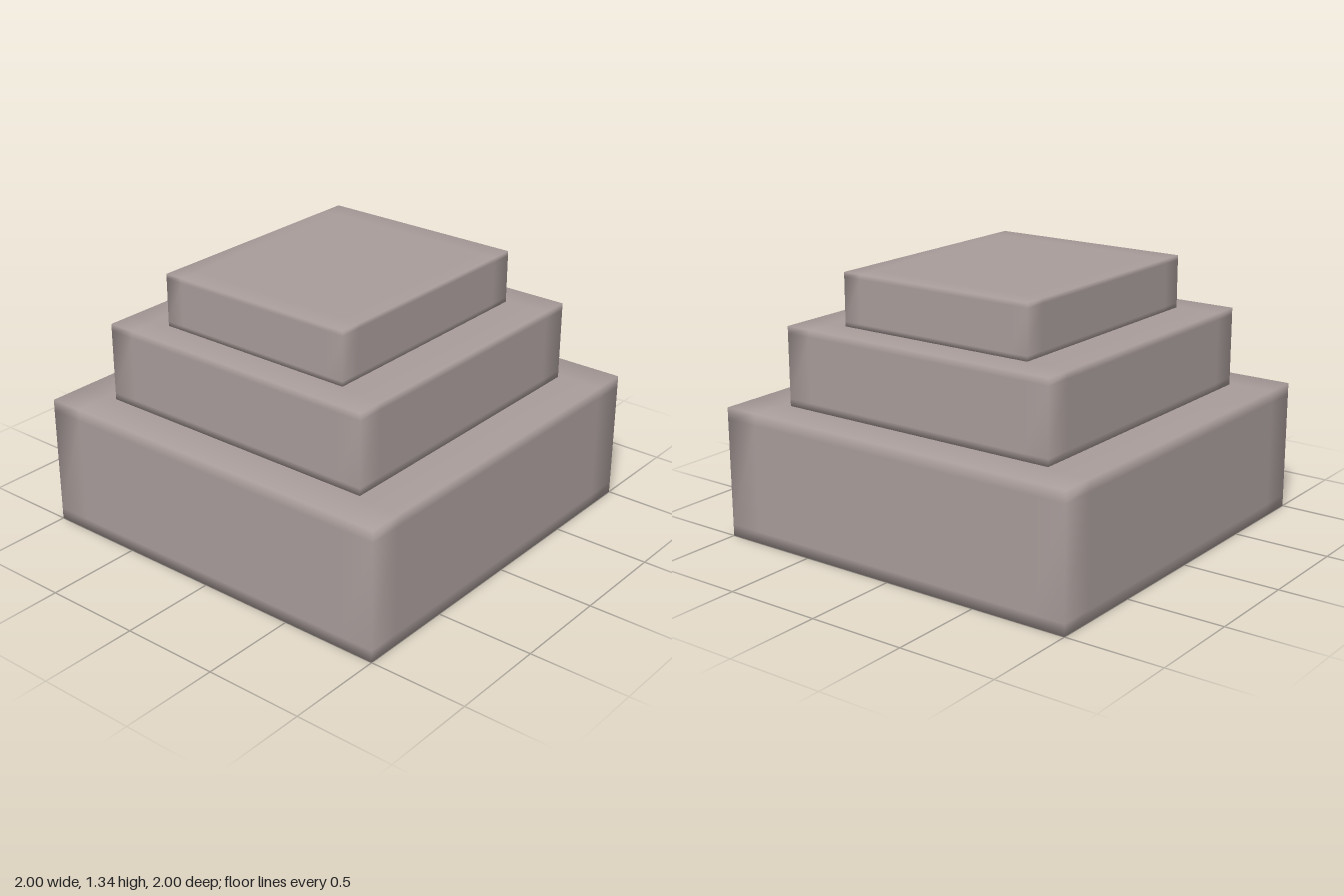
import * as THREE from 'three';
import { mergeVertices } from 'three/addons/utils/BufferGeometryUtils.js';

// Sharp-outlined block whose shading rolls softly over its edges:
// loops sit close to each edge and vertices are shared between faces.
function softBlock(w, h, d) {
  const box = new THREE.BoxGeometry(1, 1, 1, 3, 3, 3);
  box.deleteAttribute('uv');
  box.deleteAttribute('normal');
  const geo = mergeVertices(box);
  const p = geo.attributes.position;
  const inset = (v) => Math.sign(v) * (Math.abs(v) > 0.3 ? 0.5 : 0.41);
  for (let i = 0; i < p.count; i++) {
    p.setXYZ(i, inset(p.getX(i)) * w, inset(p.getY(i)) * h, inset(p.getZ(i)) * d);
  }
  geo.computeVertexNormals();
  return geo;
}

export function createModel() {
  const group = new THREE.Group();
  group.name = 'steppedPlinth';
  const stone = new THREE.MeshStandardMaterial({ color: 0xa89c9a });

  // Tiers from the ground up: name, width, depth, bottom, top
  const tiers = [
    ['baseTier', 2, 2, 0, 0.667],
    ['middleTier', 1.6, 1.537, 0.667, 1.069],
    ['topTier', 1.28, 1.077, 1.069, 1.336],
  ];
  for (const [name, w, d, y0, y1] of tiers) {
    const tier = new THREE.Mesh(softBlock(w, y1 - y0, d), stone);
    tier.name = name;
    tier.position.y = (y0 + y1) / 2;
    group.add(tier);
  }
  return group;
}
